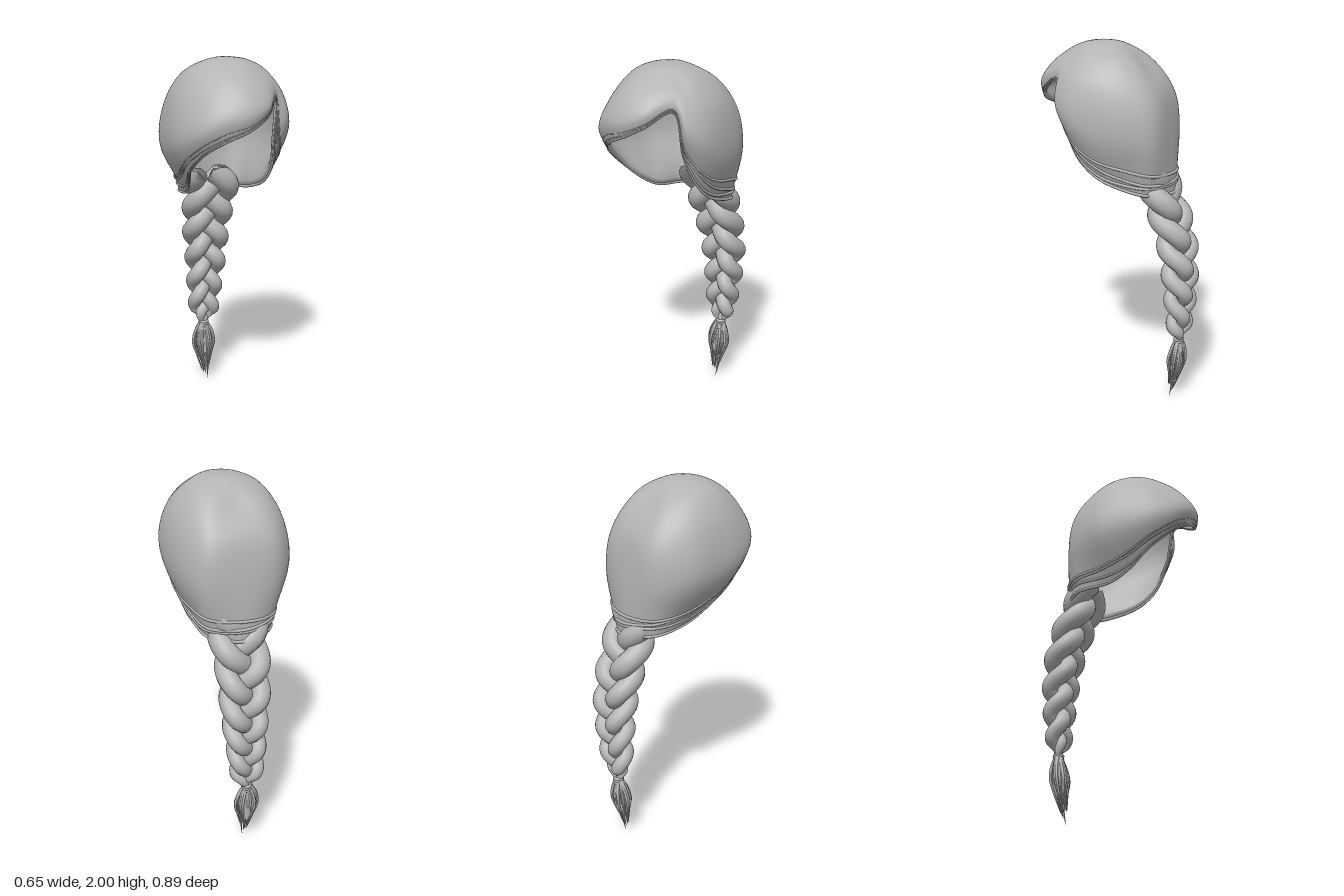
import * as THREE from 'three';

const V = (x, y, z) => new THREE.Vector3(x, y, z);
const TAU = Math.PI * 2;
const hair = new THREE.MeshStandardMaterial({ color: 0xb4b4b4, side: THREE.DoubleSide });
hair.name = 'hair grey';

// Cap meridians about the axis z = 0.1: angle from the front, then radius and height pairs down to the hem
const MERIDIANS = [
  [0, .21, 1.93, .30, 1.85, .35, 1.75, .335, 1.67],
  [20, .20, 1.93, .28, 1.865, .325, 1.79, .315, 1.73],
  [46, .185, 1.935, .235, 1.895, .265, 1.85, .272, 1.80],
  [58, .19, 1.93, .27, 1.845, .315, 1.69, .25, 1.57],
  [75, .20, 1.93, .295, 1.80, .325, 1.62, .24, 1.42],
  [100, .20, 1.93, .295, 1.80, .325, 1.55, .235, 1.32],
  [130, .24, 1.91, .34, 1.75, .37, 1.52, .28, 1.26],
  [150, .27, 1.88, .38, 1.72, .41, 1.50, .36, 1.23],
  [180, .23, 1.885, .34, 1.76, .39, 1.52, .405, 1.22],
  [207, .27, 1.88, .38, 1.72, .405, 1.50, .355, 1.24],
  [235, .24, 1.91, .34, 1.75, .365, 1.52, .225, 1.27],
  [265, .20, 1.935, .29, 1.80, .32, 1.55, .205, 1.33],
  [295, .20, 1.93, .29, 1.80, .335, 1.60, .26, 1.44],
  [320, .20, 1.93, .29, 1.83, .36, 1.67, .315, 1.55],
  [340, .21, 1.93, .29, 1.85, .355, 1.73, .335, 1.62],
];
const ring = (k) => new THREE.CatmullRomCurve3(MERIDIANS.map((m) => {
  const t = THREE.MathUtils.degToRad(m[0]);
  const r = k ? m[2 * k - 1] : 0.11, y = k ? m[2 * k] : 1.981;
  return V(Math.sin(t) * r, y, 0.1 + Math.cos(t) * r);
}), true);
const RINGS = [0, 1, 2, 3, 4].map(ring);
const CENTRE = V(0, 1.62, 0.08);

const outerColumn = (u) =>
  new THREE.CatmullRomCurve3([V(0, 2, 0.1), ...RINGS.map((c) => c.getPoint(u))]);

// The lining turns in from the hem and follows the cap up to the crown
function innerColumn(u) {
  const p = RINGS.map((c) => c.getPoint(u));
  const inset = (q, k) => q.clone().lerp(CENTRE, k);
  const lip = inset(p[4], 0.05).add(V(0, 0.015, 0));
  return new THREE.CatmullRomCurve3([p[4], lip, inset(p[3], 0.06), inset(p[2], 0.055),
    inset(p[1], 0.055), inset(p[0], 0.055), V(0, 1.977, 0.1)]);
}

// Surface made of one curve per step around the head
function shell(name, column, nu, nv) {
  const pos = [], idx = [];
  for (let i = 0; i < nu; i++) {
    const c = column(i / nu);
    for (let j = 0; j <= nv; j++) pos.push(...c.getPoint(j / nv).toArray());
  }
  for (let i = 0; i < nu; i++) {
    for (let j = 0; j < nv; j++) {
      const a = i * (nv + 1) + j, c = ((i + 1) % nu) * (nv + 1) + j;
      idx.push(a, a + 1, c, c, a + 1, c + 1);
    }
  }
  const g = new THREE.BufferGeometry();
  g.setAttribute('position', new THREE.Float32BufferAttribute(pos, 3));
  g.setIndex(idx);
  g.computeVertexNormals();
  return named(g, name);
}

function named(geometry, name) {
  const m = new THREE.Mesh(geometry, hair);
  m.name = name;
  return m;
}

// Tube whose radius changes along its length, cut level at an optional ceiling
function lock(name, points, radius, steps, sides, closed = false, ceiling = 2) {
  const curve = new THREE.CatmullRomCurve3(points, closed);
  const g = new THREE.TubeGeometry(curve, steps, 1, sides, closed);
  const pos = g.attributes.position, v = V(0, 0, 0);
  for (let i = 0; i <= steps; i++) {
    const c = curve.getPointAt(i / steps), r = radius(i / steps);
    for (let j = 0; j <= sides; j++) {
      const k = i * (sides + 1) + j;
      v.fromBufferAttribute(pos, k).sub(c).multiplyScalar(r).add(c);
      pos.setXYZ(k, v.x, Math.min(v.y, ceiling), v.z);
    }
  }
  return named(g, name);
}

// Centre line of the braid, from the nape to the tie
const BRAID = new THREE.CatmullRomCurve3([V(.025, 1.34, -.185), V(.028, 1.2, -.24), V(.028, 1.0, -.312),
  V(.035, .8, -.345), V(.028, .6, -.35), V(.02, .36, -.345)]);

function braidStrand(k) {
  const pts = [];
  for (let i = 0; i <= 60; i++) {
    const s = i / 60, phase = TAU * (2.1 * s + k / 3);
    const c = BRAID.getPointAt(1.2 * s - 0.2 * s * s);
    const close = Math.min(1, 0.15 + (1 - s) / 0.13);
    c.x += Math.sin(phase) * 0.108 * (1 - 0.55 * s) * close;
    c.z += Math.sin(2 * phase) * (0.026 + 0.028 * Math.sin(Math.PI * s)) * (1 - 0.35 * s) * close;
    pts.push(c);
  }
  const radius = (t) => {
    if (t === 0) return 0.001;
    return 0.066 * (1 - 0.44 * t) * Math.min(1, 0.35 + (1 - t) / 0.11);
  };
  return lock('braidStrand', pts, radius, 150, 14, false, 1.35);
}

export function createModel() {
  const model = new THREE.Group();
  model.name = 'braidedHair';

  // Cap of hair with its lining
  const cap = new THREE.Group();
  cap.name = 'hairCap';
  cap.add(shell('capOuter', outerColumn, 120, 30), shell('capLining', innerColumn, 120, 30));
  model.add(cap);

  // Combed ridges that follow the hem around to the nape
  const ridges = new THREE.Group();
  ridges.name = 'hemRidges';
  [0.925, 0.95, 0.975, 1].forEach((v, n) => {
    const pts = [];
    for (let i = 0; i < 90; i++) {
      const u = i / 90, w = v === 1 ? 1 : v + 0.01 * Math.sin(TAU * 2 * u + n * 2);
      pts.push(outerColumn(u).getPoint(w));
    }
    ridges.add(lock('hemRidge', pts, (t) => 0.002 + 0.007 * Math.sin(Math.PI * t) ** 2, 180, 8, true));
  });
  model.add(ridges);

  // Three woven strands
  const braid = new THREE.Group();
  braid.name = 'braid';
  for (let k = 0; k < 3; k++) braid.add(braidStrand(k));
  model.add(braid);

  // Tie at the end of the braid
  for (let i = 0; i < 3; i++) {
    const band = named(new THREE.TorusGeometry(0.022, 0.009, 8, 20), 'tieBand');
    band.rotation.x = Math.PI / 2;
    band.position.set(0.02, 0.366 - i * 0.013, -0.345);
    model.add(band);
  }

  // Loose tuft: a slim core wrapped in tapering locks
  const tuft = new THREE.Group();
  tuft.name = 'tuft';
  const core = [V(.02, .36, -.345), V(.018, .25, -.335), V(.016, .16, -.328), V(.014, .05, -.31)];
  tuft.add(lock('tuftCore', core, (t) => 0.015 + 0.033 * Math.sin(Math.PI * Math.min(1, t * 1.15)) - 0.014 * t, 24, 12));
  const count = 36;
  for (let i = 0; i < count; i++) {
    const a = i * 2.39996, out = 0.6 + 0.4 * ((i * 7) % 10) / 9;
    const tip = i === 0 ? 0 : 0.03 + 0.13 * ((i * 11) % count) / count;
    const at = (y, r, z) => V(0.017 + Math.cos(a) * r * out, y, z + Math.sin(a) * r * out * 0.7);
    tuft.add(lock('tuftLock', [at(.36, .02, -.345), at(.3, .055, -.34), at(.235, .07, -.333),
      at(.15 + tip * 0.2, .05, -.325), at(tip, .012 + tip * .16, -.298 - tip * .12)],
    (t) => 0.009 * (1 - t) ** 0.6 + 0.001, 16, 5));
  }
  model.add(tuft);

  return model;
}
